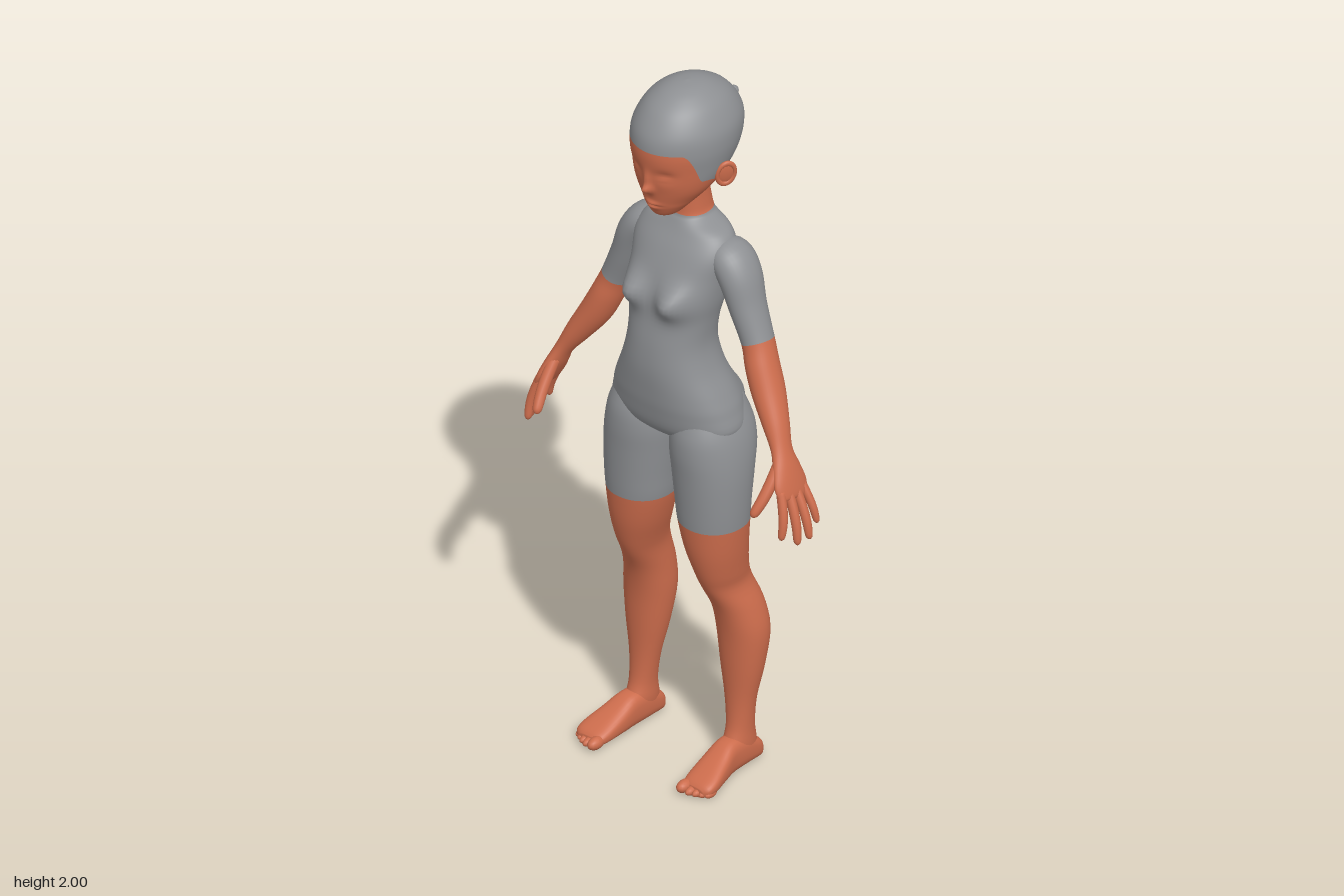
import * as THREE from 'three';

const suit = new THREE.MeshStandardMaterial({ color: 0x8e9093 });
suit.name = 'grey suit';
const skin = new THREE.MeshStandardMaterial({ color: 0xcc6c4c });
skin.name = 'terracotta skin';

// smooth interpolation of every channel of a list of sections; t counts sections
function sample(secs, t) {
  const n = secs.length - 1;
  const i = Math.min(Math.floor(t), n - 1), f = t - i;
  const a = secs[Math.max(i - 1, 0)], b = secs[i], c = secs[i + 1], d = secs[Math.min(i + 2, n)];
  return b.map((_, k) => {
    const m0 = (c[k] - a[k]) / 2, m1 = (d[k] - b[k]) / 2;
    return b[k] + f * (m0 + f * (3 * (c[k] - b[k]) - 2 * m0 - m1 + f * (2 * (b[k] - c[k]) + m0 + m1)));
  });
}

const spow = (v, e) => Math.sign(v) * Math.abs(v) ** e;
const smooth = (a, b, v) => THREE.MathUtils.smoothstep(v, a, b);

// make all triangles face outward, using the signed volume
function orient(geo) {
  const p = geo.attributes.position, ix = geo.index.array;
  const v = [new THREE.Vector3(), new THREE.Vector3(), new THREE.Vector3()];
  let vol = 0;
  for (let i = 0; i < ix.length; i += 3) {
    v.forEach((q, k) => q.fromBufferAttribute(p, ix[i + k]));
    vol += v[0].dot(v[1].clone().cross(v[2]));
  }
  if (vol < 0) for (let i = 0; i < ix.length; i += 3) [ix[i + 1], ix[i + 2]] = [ix[i + 2], ix[i + 1]];
  geo.computeVertexNormals();
  return geo;
}

// closed skin over rings fn(row, angle); rows before `split` take the first material
function surface(rows, cols, fn, split) {
  const pos = [], idx = [];
  const ends = [[0, 0, 0], [0, 0, 0]];
  for (let i = 0; i <= rows; i++) for (let j = 0; j < cols; j++) {
    const q = fn(i, (j / cols) * Math.PI * 2);
    pos.push(...q);
    if (i === 0 || i === rows) q.forEach((c, k) => { ends[i ? 1 : 0][k] += c / cols; });
  }
  pos.push(...ends[0], ...ends[1]);
  const base = (rows + 1) * cols, at = (i, j) => i * cols + (j % cols);
  for (let j = 0; j < cols; j++) idx.push(base, at(0, j + 1), at(0, j));
  for (let i = 0; i < rows; i++) for (let j = 0; j < cols; j++) {
    idx.push(at(i, j), at(i, j + 1), at(i + 1, j), at(i, j + 1), at(i + 1, j + 1), at(i + 1, j));
  }
  for (let j = 0; j < cols; j++) idx.push(base + 1, at(rows, j), at(rows, j + 1));
  const geo = new THREE.BufferGeometry();
  geo.setAttribute('position', new THREE.Float32BufferAttribute(pos, 3));
  geo.setIndex(idx);
  if (split) {
    const n = cols * 3 + split * cols * 6;
    geo.addGroup(0, n, 0);
    geo.addGroup(n, idx.length - n, 1);
  }
  return orient(geo);
}

// level ring from [y, xOuter, xInner, zFront, zBack]
function ring([y, xo, xi, zf, zb], a, e = 0.9) {
  return [(xo + xi) / 2 + (xo - xi) / 2 * spow(Math.cos(a), e), y, (zf + zb) / 2 + (zf - zb) / 2 * spow(Math.sin(a), e)];
}

// push a point along z by soft bumps [x, y, rx, ry, amount]; positive front, negative back
function bumps(p, list, cz) {
  let dz = 0;
  for (const [x, y, rx, ry, amt, back] of list) {
    const w = smooth(0, 0.05, back ? cz - p[2] : p[2] - cz);
    dz += w * amt * Math.exp(-(((Math.abs(p[0]) - x) / rx) ** 2) - ((p[1] - y) / ry) ** 2);
  }
  return [p[0], p[1], p[2] + dz];
}

// limb with tilted elliptical rings from [x, y, z, radiusAcross, radiusDepth]
function limb(secs, cols, sub, split) {
  const n = secs.length - 1, Z = new THREE.Vector3(0, 0, 1);
  return surface(n * sub, cols, (i, a) => {
    const t = i / sub, s = sample(secs, t);
    const p0 = sample(secs, Math.max(t - 0.2, 0)), p1 = sample(secs, Math.min(t + 0.2, n));
    const T = new THREE.Vector3(p1[0] - p0[0], p1[1] - p0[1], p1[2] - p0[2]).normalize();
    const U = new THREE.Vector3().crossVectors(Z, T).normalize(), V = new THREE.Vector3().crossVectors(T, U);
    return new THREE.Vector3(s[0], s[1], s[2])
      .addScaledVector(U, Math.max(s[3], 0.001) * Math.cos(a))
      .addScaledVector(V, Math.max(s[4], 0.001) * Math.sin(a)).toArray();
  }, split && split * sub);
}

export function createModel() {
  const model = new THREE.Group();
  model.name = 'figure';
  const add = (name, geo, mat) => {
    const m = new THREE.Mesh(geo, mat);
    m.name = name;
    model.add(m);
  };
  const pair = (name, geo, mat) => {
    add('left ' + name, geo, mat);
    add('right ' + name, orient(geo.clone().scale(-1, 1, 1)), mat);
  };

  // torso and neck: [y, half width, front, back]
  const torso = [
    [0.955, 0.03, 0.05, -0.04], [0.985, 0.1, 0.095, -0.065], [1.02, 0.19, 0.128, -0.082],
    [1.08, 0.185, 0.143, -0.088], [1.13, 0.166, 0.15, -0.083], [1.2, 0.134, 0.155, -0.066],
    [1.27, 0.117, 0.15, -0.055], [1.34, 0.121, 0.138, -0.06], [1.4, 0.132, 0.13, -0.076],
    [1.47, 0.14, 0.112, -0.09], [1.53, 0.148, 0.084, -0.095], [1.575, 0.125, 0.055, -0.09],
    [1.6, 0.072, 0.04, -0.084], [1.615, 0.055, 0.032, -0.081], [1.65, 0.05, 0.03, -0.074],
    [1.7, 0.048, 0.03, -0.062], [1.74, 0.045, 0.03, -0.055]];
  const bodyBumps = [[0.068, 1.41, 0.042, 0.042, 0.043], [0.085, 1.06, 0.06, 0.06, -0.038, true],
    [0, 1.37, 0.03, 0.2, 0.012, true]];
  add('torso and neck', surface(16 * 5, 64, (i, a) => {
    const [y, w, zf, zb] = sample(torso, i / 5);
    return bumps(ring([y, w, -w, zf, zb], a), bodyBumps, (zf + zb) / 2);
  }, 13 * 5), [suit, skin]);

  // head with a close cap; the cap edge follows the hairline round the head
  const head = [
    [1.642, 0.012, 0.092, 0.06], [1.652, 0.036, 0.112, 0.025], [1.68, 0.061, 0.126, -0.005],
    [1.7, 0.077, 0.13, -0.035], [1.73, 0.099, 0.136, -0.068], [1.76, 0.113, 0.143, -0.104],
    [1.8, 0.124, 0.15, -0.145], [1.85, 0.131, 0.156, -0.167], [1.9, 0.126, 0.148, -0.167],
    [1.95, 0.1, 0.116, -0.135], [1.98, 0.067, 0.076, -0.09], [1.995, 0.035, 0.036, -0.05],
    [2.0, 0.001, -0.006, -0.008]];
  const faceBumps = [[0, 1.742, 0.013, 0.014, 0.022], [0, 1.768, 0.01, 0.025, 0.01],
    [0.048, 1.79, 0.024, 0.016, -0.009], [0.048, 1.783, 0.018, 0.007, 0.004],
    [0, 1.694, 0.022, 0.006, 0.007], [0, 1.68, 0.018, 0.006, 0.006], [0, 1.687, 0.025, 0.003, -0.004]];
  const under = 44, rows = 76;
  add('head and cap', surface(rows, 112, (i, a) => {
    const s = Math.sin(a), edge = 3.7 + 1.5 * smooth(-1, 0.3, s) + 2 * smooth(0.3, 0.75, s);
    const t = i <= under ? edge * i / under : edge + (12 - edge) * (i - under) / (rows - under);
    const [y, w, zf, zb] = sample(head, t);
    return bumps(ring([y, w, -w, zf, zb], a, 1), faceBumps, 0.06);
  }, under), [skin, suit]);
  add('cap knob', new THREE.SphereGeometry(0.017, 20, 14).scale(1, 1, 1.6).rotateX(0.3).translate(0, 1.878, -0.173), suit);

  // ears: flat lobe with a raised rim, turned out at the back
  const place = (g) => g.rotateY(-0.5).rotateZ(-0.15).translate(0.126, 1.77, -0.012);
  pair('ear', place(new THREE.SphereGeometry(1, 20, 14).scale(0.009, 0.036, 0.026)), skin);
  pair('ear rim', place(new THREE.TorusGeometry(0.025, 0.006, 10, 28).rotateY(Math.PI / 2).scale(1, 1.3, 0.95).translate(0.004, 0, 0)), skin);

  // legs: [y, outer x, inner x, front, back]
  const leg = [
    [1.1, 0.165, 0.04, 0.1, -0.075], [1.03, 0.197, 0.014, 0.128, -0.1], [0.97, 0.212, 0.005, 0.134, -0.103],
    [0.9, 0.218, 0.012, 0.13, -0.085], [0.82, 0.217, 0.022, 0.125, -0.07], [0.75, 0.213, 0.03, 0.12, -0.065],
    [0.67, 0.205, 0.05, 0.11, -0.062], [0.6, 0.195, 0.073, 0.092, -0.066], [0.55, 0.19, 0.084, 0.072, -0.08],
    [0.48, 0.212, 0.086, 0.038, -0.103], [0.4, 0.228, 0.087, 0.02, -0.11], [0.3, 0.221, 0.1, 0.013, -0.092],
    [0.2, 0.204, 0.12, 0.009, -0.07], [0.12, 0.198, 0.131, 0.014, -0.066], [0.07, 0.199, 0.131, 0.03, -0.074],
    [0.03, 0.197, 0.136, 0.02, -0.08]];
  pair('leg', surface(15 * 4, 40, (i, a) => ring(sample(leg, i / 4), a, 0.95), 5 * 4), [suit, skin]);

  // feet: [z, inner x, outer x, top y]
  const foot = [
    [-0.09, 0.155, 0.176, 0.04], [-0.08, 0.138, 0.194, 0.055], [-0.03, 0.132, 0.2, 0.088],
    [0.03, 0.131, 0.204, 0.095], [0.08, 0.13, 0.216, 0.073], [0.13, 0.132, 0.228, 0.05],
    [0.16, 0.138, 0.226, 0.036], [0.172, 0.15, 0.21, 0.025]];
  pair('foot', surface(7 * 4, 32, (i, a) => {
    const [z, xi, xo, top] = sample(foot, i / 4);
    return [(xi + xo) / 2 + (xo - xi) / 2 * spow(Math.cos(a), 0.75), top / 2 + top / 2 * spow(Math.sin(a), 0.75), z];
  }), skin);
  [[0.151, 0.172, 0.017], [0.174, 0.169, 0.012], [0.191, 0.164, 0.011], [0.206, 0.157, 0.01], [0.219, 0.149, 0.01]].forEach(([x, z, r], i) => {
    pair('toe ' + (i + 1), new THREE.SphereGeometry(r, 14, 10).scale(1, 1, i ? 2.1 : 1.65).translate(x, r, z), skin);
  });

  // arms down to the knuckles: [x, y, z, radius across, radius in depth]
  pair('arm', limb([
    [0.09, 1.52, -0.02, 0.035, 0.045], [0.135, 1.52, -0.02, 0.048, 0.062], [0.17, 1.477, -0.018, 0.05, 0.064],
    [0.2, 1.4, -0.014, 0.045, 0.054], [0.238, 1.312, -0.01, 0.041, 0.046], [0.263, 1.25, 0.0, 0.042, 0.048],
    [0.292, 1.19, 0.01, 0.041, 0.047], [0.335, 1.12, 0.03, 0.032, 0.038], [0.367, 1.065, 0.045, 0.022, 0.032],
    [0.388, 1.02, 0.051, 0.021, 0.045], [0.405, 0.982, 0.055, 0.018, 0.055], [0.418, 0.952, 0.057, 0.013, 0.05],
    [0.421, 0.945, 0.058, 0.004, 0.04]], 36, 5, 4), [suit, skin]);

  // fingers and thumb, gently curved from base to tip
  const digit = (name, b, tip, r, bend) => {
    const at = (f, k, rr) => [...b.map((c, i) => c + (tip[i] - c) * f + (i === 0 ? bend * k : 0)), rr, rr];
    pair(name, limb([at(0, 0, r), at(0.35, 0.8, r), at(0.65, 0.9, r * 0.95), at(0.9, 0.3, r * 0.8), at(0.98, 0.06, r * 0.45), at(1, 0, 0.001)], 14, 4), skin);
  };
  digit('index finger', [0.408, 0.975, 0.094], [0.43, 0.85, 0.118], 0.0125, 0.008);
  digit('middle finger', [0.411, 0.972, 0.069], [0.455, 0.83, 0.083], 0.013, 0.008);
  digit('ring finger', [0.411, 0.972, 0.043], [0.464, 0.835, 0.047], 0.0125, 0.008);
  digit('little finger', [0.408, 0.975, 0.018], [0.455, 0.862, 0.008], 0.011, 0.008);
  digit('thumb', [0.38, 1.035, 0.07], [0.366, 0.912, 0.158], 0.016, 0.006);

  return model;
}
